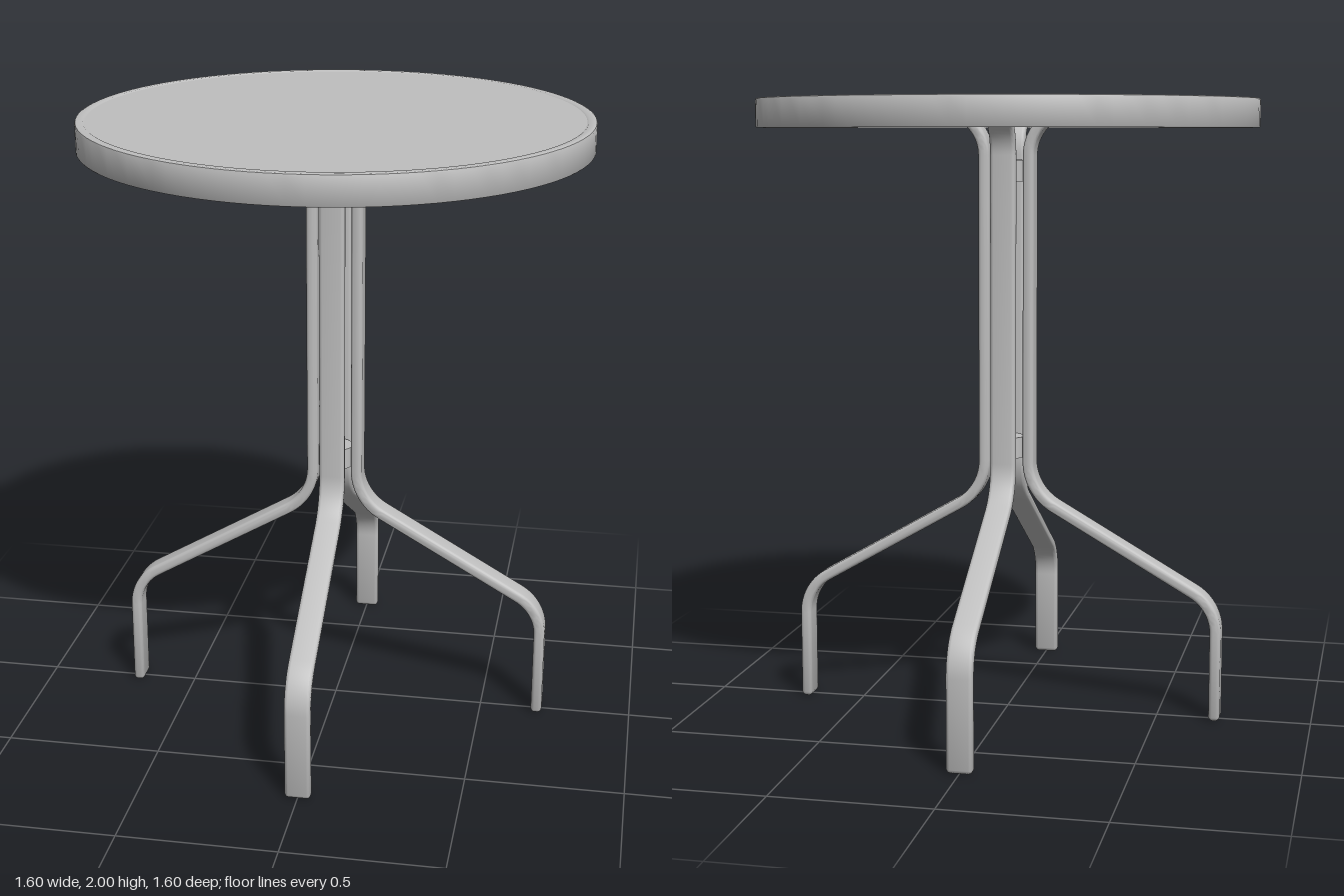
import * as THREE from 'three';
import { toCreasedNormals } from 'three/addons/utils/BufferGeometryUtils.js';

// Rounded-rectangle cross-section, counter-clockwise: [in-plane, sideways]
function section(ht, hw, rad) {
  const pts = [];
  for (const [su, sw, start] of [[1, 1, 0], [-1, 1, 90], [-1, -1, 180], [1, -1, 270]]) {
    for (let k = 0; k <= 4; k++) {
      const a = THREE.MathUtils.degToRad(start + k * 22.5);
      pts.push([su * (ht - rad) + rad * Math.cos(a), sw * (hw - rad) + rad * Math.sin(a)]);
    }
  }
  return pts;
}

// Walks the leg's centre line from the foot up, returning stations on it
function legPath() {
  const stations = [];
  let x = 0.69, y = 0, heading = Math.PI / 2;
  const mark = (inset = 0) => stations.push({ x, y, heading, inset });
  const move = (d, inset) => {
    x += d * Math.cos(heading);
    y += d * Math.sin(heading);
    mark(inset);
  };
  const turn = (radius, degrees, steps = 12) => {
    const step = THREE.MathUtils.degToRad(degrees) / steps;
    const chord = 2 * radius * Math.sin(Math.abs(step) / 2);
    for (let i = 0; i < steps; i++) {
      heading += step / 2;
      x += chord * Math.cos(heading);
      y += chord * Math.sin(heading);
      heading += step / 2;
      mark();
    }
  };
  mark(0.010);
  move(0.004, 0.004);
  move(0.008, 0);
  move(0.279);
  turn(0.15, 60);
  move(0.528);
  turn(0.17, -60);
  move(0.99);
  turn(0.14, -90, 16);
  move(0.507);
  return stations;
}

// Sweeps the section along the stations and caps both ends
function sweepLeg() {
  const stations = legPath(), pos = [], index = [];
  let n = 0;
  for (const s of stations) {
    const ring = section(0.018 - s.inset, 0.041 - s.inset, Math.max(0.004, 0.012 - s.inset));
    n = ring.length;
    for (const [u, w] of ring) {
      pos.push(s.x - u * Math.sin(s.heading), s.y + u * Math.cos(s.heading), w);
    }
  }
  const last = (stations.length - 1) * n;
  for (let i = 0; i < stations.length - 1; i++) {
    for (let j = 0; j < n; j++) {
      const a = i * n + j, b = i * n + (j + 1) % n;
      index.push(a, b, a + n, b, b + n, a + n);
    }
  }
  for (let j = 1; j < n - 1; j++) {
    index.push(0, j + 1, j);
    index.push(last, last + j, last + j + 1);
  }
  const geo = new THREE.BufferGeometry();
  geo.setAttribute('position', new THREE.Float32BufferAttribute(pos, 3));
  geo.setIndex(index);
  return toCreasedNormals(geo, 0.7);
}

export function createModel() {
  const table = new THREE.Group();
  table.name = 'roundTable';
  const metal = new THREE.MeshStandardMaterial({ color: 0xbfbfbf });
  metal.name = 'lightGrey';

  const add = (name, geometry, parent = table) => {
    const mesh = new THREE.Mesh(geometry, metal);
    mesh.name = name;
    parent.add(mesh);
    return mesh;
  };

  // Table top: thin panel held in a hollow rim with an inward lip
  add('topPanel', new THREE.CylinderGeometry(0.769, 0.769, 0.017, 96)).position.y = 1.9885;
  const profile = [
    [0.788, 1.908], [0.798, 1.908], [0.8, 1.911], [0.8, 1.993], [0.798, 1.998], [0.793, 2],
    [0.774, 2], [0.769, 1.997], [0.769, 1.98], [0.788, 1.98], [0.788, 1.908],
  ].map(([r, y]) => new THREE.Vector2(r, y));
  add('topRim', toCreasedNormals(new THREE.LatheGeometry(profile, 96), 0.8));

  // Small clips around the inside of the rim
  const clipGeo = new THREE.BoxGeometry(0.02, 0.025, 0.03);
  for (let i = 0; i < 8; i++) {
    const clip = new THREE.Group();
    clip.name = 'rimClip';
    clip.rotation.y = -THREE.MathUtils.degToRad(13 + 45 * i);
    add('clipBlock', clipGeo, clip).position.set(0.779, 1.925, 0);
    table.add(clip);
  }

  // Four bent legs, each running up into an arm under the top
  const legGeo = sweepLeg();
  ['leftLeg', 'backLeg', 'rightLeg', 'frontLeg'].forEach((name, i) => {
    add(name, legGeo).rotation.y = i * Math.PI / 2;
  });

  // Spacers joining the legs
  for (const [name, y] of [['lowerSpacer', 0.878], ['upperSpacer', 1.772]]) {
    add(name, new THREE.CylinderGeometry(0.056, 0.056, 0.068, 32)).position.y = y;
  }

  return table;
}
